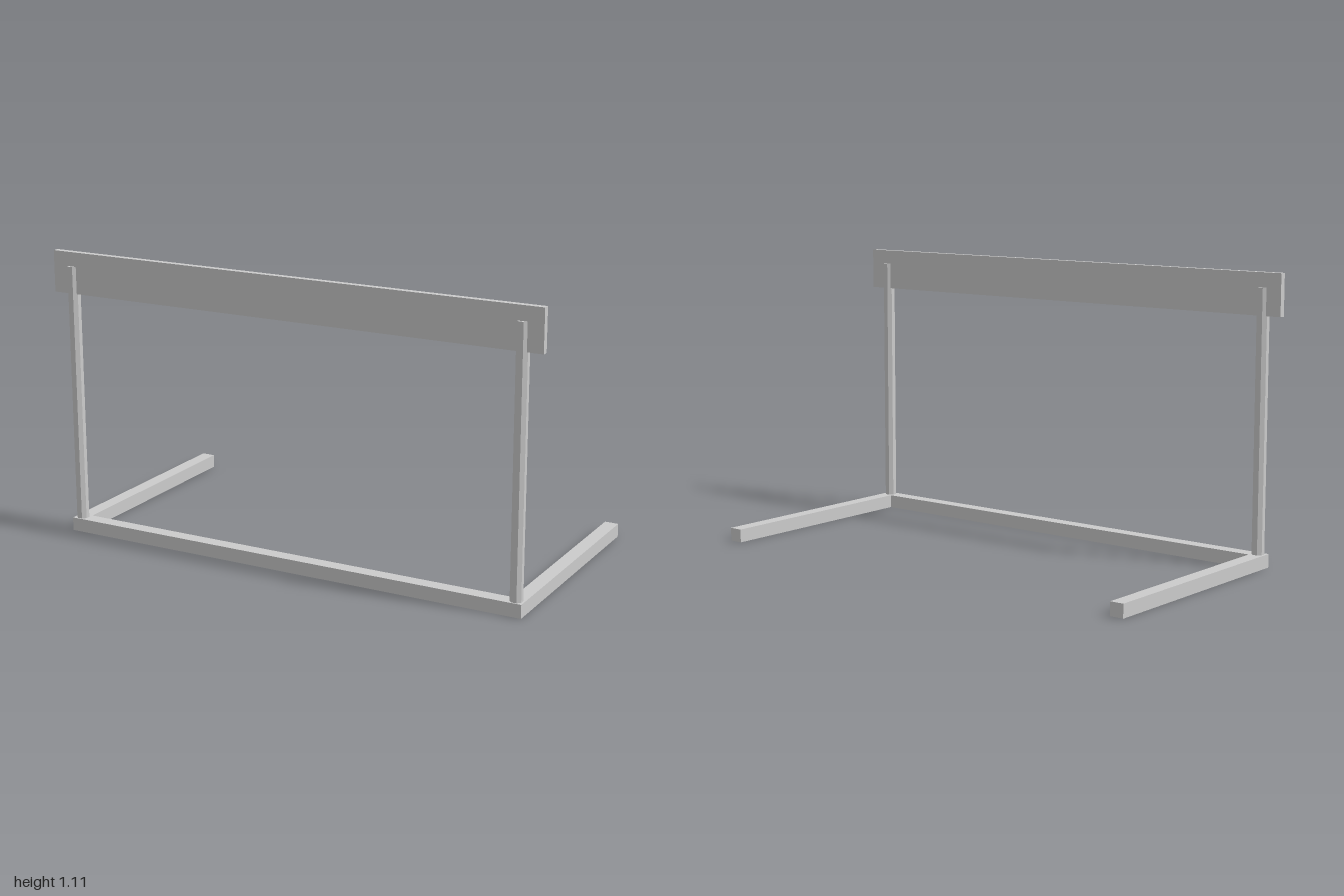
import * as THREE from 'three';

const material = new THREE.MeshStandardMaterial({ color: 0xcccccc, flatShading: true });

export function createModel() {
  const model = new THREE.Group();
  model.name = 'hurdle';

  function add(name, geometry, x, y, z) {
    const mesh = new THREE.Mesh(geometry, material);
    mesh.name = name;
    mesh.position.set(x, y, z);
    model.add(mesh);
    return mesh;
  }

  // U-shaped base: front rail with two feet running back
  const w = 0.95, d = 0.472, t = 0.054, baseHeight = 0.052;
  const outline = new THREE.Shape([
    [-w, -d], [w, -d], [w, d], [w - t, d],
    [w - t, -d + t], [-w + t, -d + t], [-w + t, d], [-w, d],
  ].map(([x, y]) => new THREE.Vector2(x, y)));
  const base = new THREE.ExtrudeGeometry(outline, { depth: baseHeight, bevelEnabled: false });
  base.rotateX(-Math.PI / 2); // shape y becomes -z
  add('base', base, 0, 0, 0);

  // Eight-sided uprights, a flat facing forward
  const postZ = 0.445, postTop = 1.052;
  for (const side of [-1, 1]) {
    const post = new THREE.CylinderGeometry(0.0238, 0.0238, postTop - baseHeight, 8);
    post.rotateY(Math.PI / 8);
    add(side > 0 ? 'leftPost' : 'rightPost', post, side * 0.92, (postTop + baseHeight) / 2, postZ);
  }

  // Crossbar board, set through the middle of the uprights
  add('crossbar', new THREE.BoxGeometry(2, 0.16, 0.024), 0, 1.027, postZ);

  return model;
}
